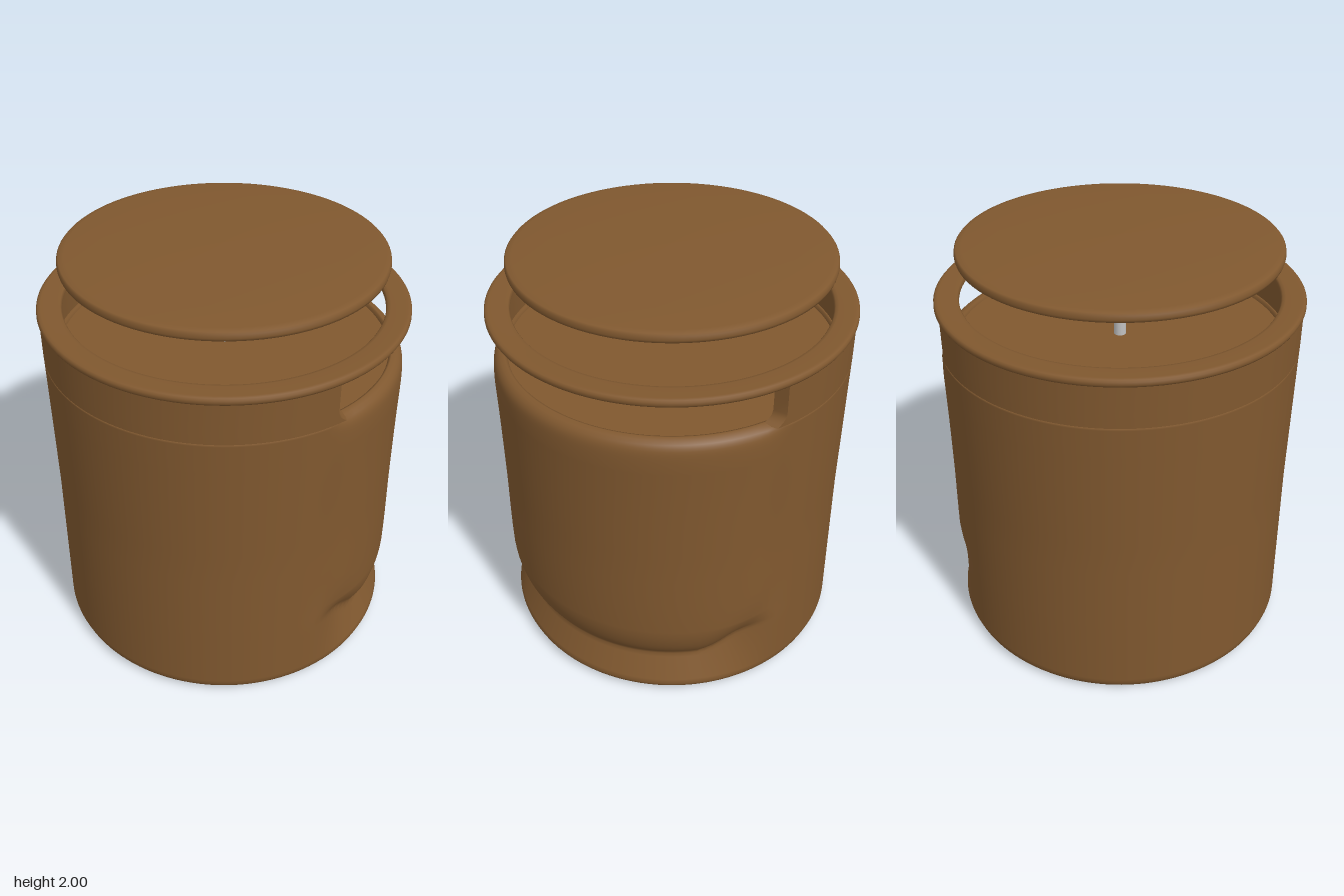
import * as THREE from 'three';

// Smooth surface through a grid of points; fn(row, col) returns [x, y, z].
function grid(rows, cols, fn, closed = false) {
  const pos = [], idx = [], n = closed ? cols : cols - 1;
  for (let r = 0; r < rows; r++) for (let c = 0; c < cols; c++) pos.push(...fn(r, c));
  for (let r = 0; r < rows - 1; r++) for (let c = 0; c < n; c++) {
    const d = (c + 1) % cols;
    const a = r * cols + c, b = r * cols + d, e = a + cols, f = b + cols;
    idx.push(a, e, b, b, e, f);
  }
  const g = new THREE.BufferGeometry();
  g.setAttribute('position', new THREE.Float32BufferAttribute(pos, 3));
  g.setIndex(idx);
  g.computeVertexNormals();
  return g;
}

const smooth = THREE.MathUtils.smoothstep;
const polar = (r, a, y) => [r * Math.cos(a), y, r * Math.sin(a)];

const LEDGE = 1.525, FLOOR = 1.507, RIM = 1.715, INNER = 0.78, OUTER = 0.837;

// Outer radius of the jar at an angle and height: a pressed-in groove under the
// opening, soft dents beside it and a rounded ledge on top.
function bodyRadius(a, y) {
  const deg = Math.abs(THREE.MathUtils.radToDeg(a > Math.PI ? a - 2 * Math.PI : a));
  const panel = 1 - smooth(deg, 57, 67);
  let r = 0.83 + 0.007 * Math.abs(y - 0.8) / 0.75;
  const gy = 0.205 + 0.13 * smooth(deg, 38, 64);
  const depth = 0.068 * (1 - smooth(deg, 50, 68));
  const k = y < gy ? Math.max(0, 1 - (gy - y) / (gy - 0.05)) : Math.max(0, 1 - (y - gy) / 0.2) ** 2.4;
  r -= depth * k;
  const t = Math.max(0, (y - 1.36) / (LEDGE - 1.36));
  r -= 0.045 * panel * (0.25 * t * t + 0.75 * t ** 8);
  r -= 0.01 * Math.exp(-(((deg - 64) / 5) ** 2)) * smooth(y, 0.3, 0.5) * (1 - smooth(y, 0.9, 1.4));
  r += 0.008 * panel * smooth(y, 0.3, 0.45) * (1 - smooth(y, 0.5, 1.3));
  return r;
}

export function createModel() {
  const brown = new THREE.MeshStandardMaterial({ color: 0x80582f });
  brown.name = 'brown';
  const grey = new THREE.MeshStandardMaterial({ color: 0xc0c0c0 });
  grey.name = 'wickGrey';
  const model = new THREE.Group();
  const add = (name, geometry, material = brown) => {
    const mesh = new THREE.Mesh(geometry, material);
    mesh.name = name;
    model.add(mesh);
    return mesh;
  };

  // Jar body: rounded foot, shaped side, ledge and small inner lip
  const rows = [[0, 0], [0.76, 0], [0.79, 0.002], [0.815, 0.01], [0.829, 0.028]];
  for (let i = 0; i <= 20; i++) rows.push([null, 0.05 + i * 0.0185]);
  for (let i = 1; i <= 12; i++) rows.push([null, 0.42 + i * 0.079]);
  for (let i = 1; i <= 12; i++) rows.push([null, 1.368 + i * (LEDGE - 0.005 - 1.368) / 12]);
  rows.push([0.779, LEDGE], [0.77, LEDGE - 0.002], [0.765, FLOOR]);
  const sides = 128;
  add('jarBody', grid(rows.length, sides, (r, c) => {
    const a = c / sides * Math.PI * 2, [rad, y] = rows[r];
    return polar(rad ?? bodyRadius(a, y), a, y);
  }, true));

  // Filled surface inside the jar
  const floor = add('innerFloor', new THREE.CircleGeometry(0.768, 64));
  floor.rotation.x = -Math.PI / 2;
  floor.position.y = FLOOR;

  // Upper wall: open on the left side, with a fillet at the foot of the opening
  const ys = [LEDGE - 0.006, 1.53, 1.54, 1.555, 1.575, 1.64, RIM + 0.01];
  const cut = y => 0.36 + 0.04 * Math.max(0, 1 - (y - 1.52) / 0.055) ** 2;
  const wall = (name, radius, list) => add(name, grid(list.length, 90, (r, c) => {
    const a0 = Math.acos(cut(list[r]) / radius);
    return polar(radius, a0 + c / 89 * 2 * (Math.PI - a0), list[r]);
  }));
  wall('upperWallOutside', OUTER, ys);
  wall('upperWallInside', INNER, [...ys].reverse());
  for (const s of [1, -1]) {
    add(s > 0 ? 'openingFrontEnd' : 'openingBackEnd', grid(ys.length, 2, (r, c) => {
      const x = cut(ys[r]), radius = (c === 1) === (s > 0) ? OUTER : INNER;
      return [x, ys[r], s * Math.sqrt(radius * radius - x * x)];
    }));
  }

  const lathe = (points, segments = 96) =>
    new THREE.LatheGeometry(points.map(p => new THREE.Vector2(...p)), segments);

  // Thin rim bridging the opening
  add('rim', lathe([
    [0.732, 1.722], [0.742, 1.714], [0.75, 1.713], [0.83, 1.711], [0.84, 1.714], [0.846, 1.725],
    [0.845, 1.738], [0.838, 1.746], [0.825, 1.748], [0.752, 1.746], [0.738, 1.743], [0.732, 1.735], [0.732, 1.722],
  ]));

  // Lid hovering above the jar
  add('lid', lathe([
    [0, 1.932], [0.7, 1.932], [0.722, 1.933], [0.732, 1.938], [0.735, 1.95],
    [0.733, 1.967], [0.726, 1.975], [0.7, 1.98], [0.55, 1.988], [0.3, 1.997], [0, 2],
  ]));

  // Wick
  add('wick', lathe([
    [0.03, 1.5], [0.028, 1.62], [0.024, 1.74], [0.021, 1.81], [0.016, 1.825], [0, 1.83],
  ], 12), grey);

  return model;
}
